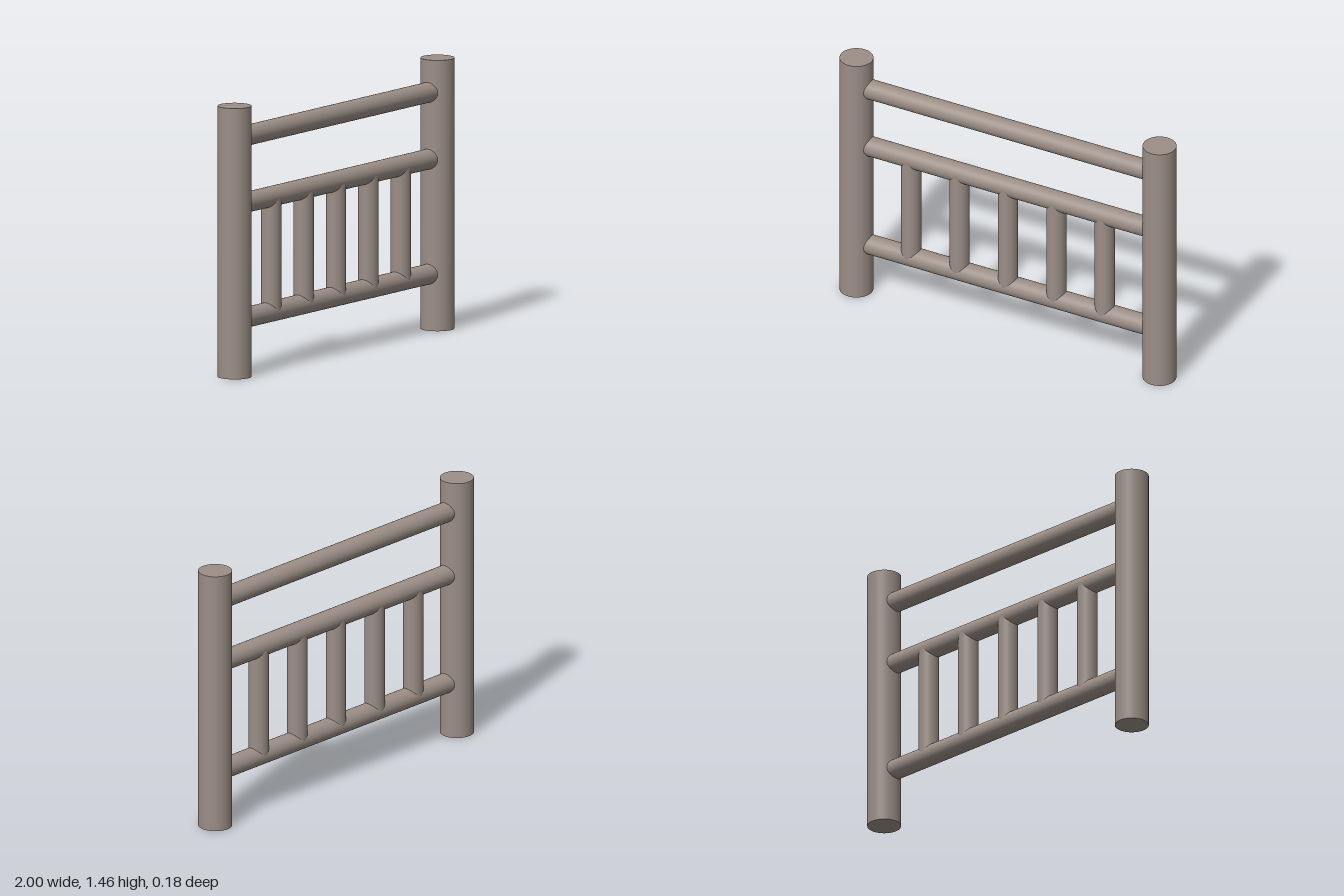
import * as THREE from 'three';

export function createModel() {
  const group = new THREE.Group();
  const wood = new THREE.MeshStandardMaterial({ color: 0x9b8e86 });
  wood.name = 'weathered wood';

  // Round timber centred on (x, y), upright unless laid along x
  function log(name, radius, length, x, y, alongX = false) {
    const geometry = new THREE.CylinderGeometry(radius, radius, length, 48);
    if (alongX) geometry.rotateZ(Math.PI / 2);
    const mesh = new THREE.Mesh(geometry, wood);
    mesh.name = name;
    mesh.position.set(x, y, 0);
    group.add(mesh);
  }

  // End posts
  const height = 1.455, postRadius = 0.09, postX = 1 - postRadius;
  log('leftPost', postRadius, height, postX, height / 2);
  log('rightPost', postRadius, height, -postX, height / 2);

  // Horizontal rails, let into the posts
  const railRadius = 0.0545, lowY = 0.303, midY = 0.921, topY = 1.28;
  log('bottomRail', railRadius, 2 * postX, 0, lowY, true);
  log('middleRail', railRadius, 2 * postX, 0, midY, true);
  log('topRail', railRadius, 2 * postX, 0, topY, true);

  // Balusters between the two lower rails
  for (let i = -2; i <= 2; i++) {
    log(`baluster${i + 3}`, 0.054, midY - lowY, i * 0.291, (lowY + midY) / 2);
  }

  return group;
}
